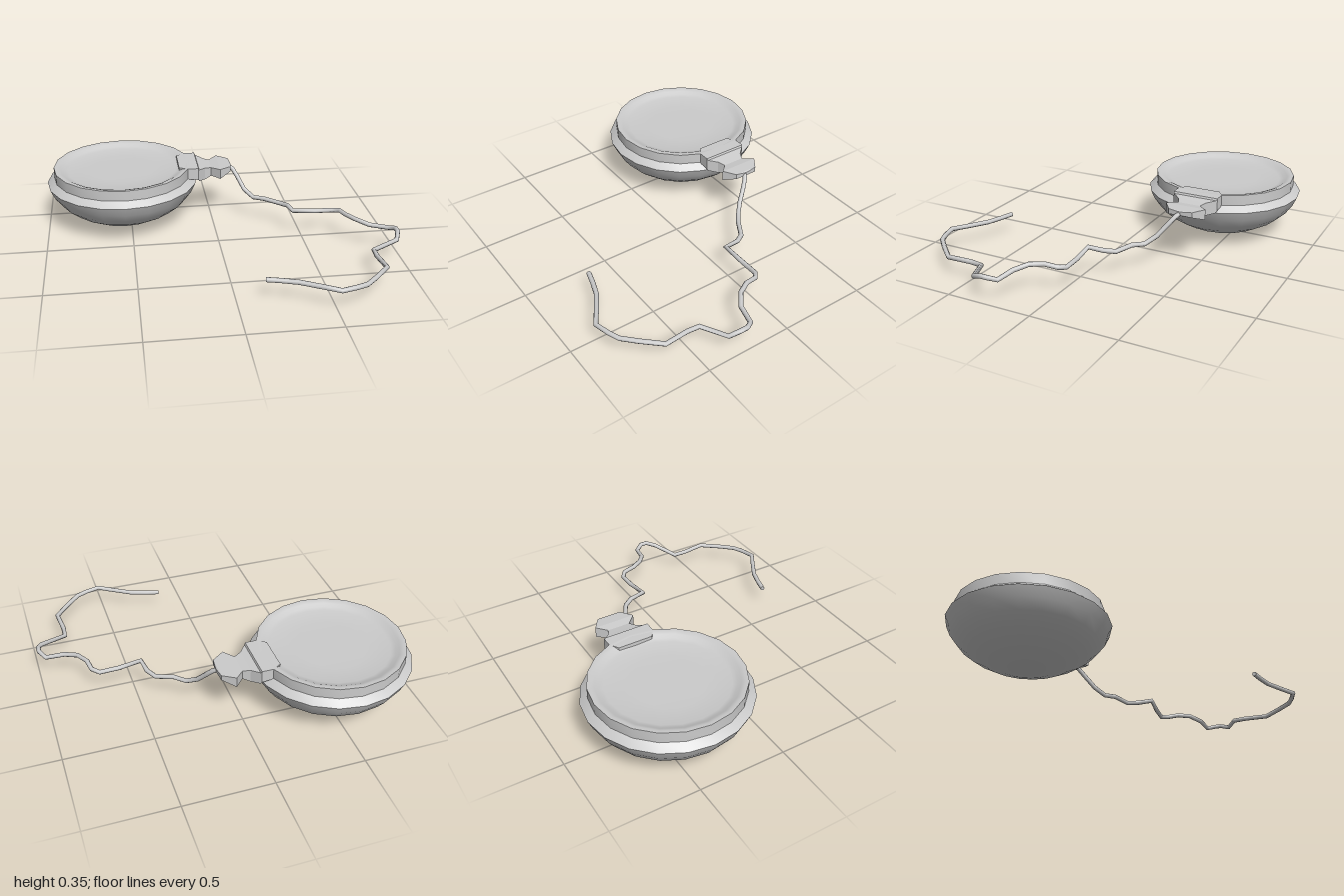
import * as THREE from 'three';
import { toCreasedNormals } from 'three/addons/utils/BufferGeometryUtils.js';

const CX = -0.54, CZ = -0.413; // centre of the round case

const material = new THREE.MeshStandardMaterial({ color: 0xcccccc });
const flatMaterial = new THREE.MeshStandardMaterial({ color: 0xcccccc, flatShading: true });

function addMesh(group, name, geometry, mat = material) {
  const mesh = new THREE.Mesh(geometry, mat);
  mesh.name = name;
  group.add(mesh);
  return mesh;
}

// Twenty-sided turned shape from [radius, height] pairs
function turned(profile) {
  const points = profile.map(([r, y]) => new THREE.Vector2(r, y));
  return toCreasedNormals(new THREE.LatheGeometry(points, 20), 0.7);
}

// Rectangular cross-sections [x, halfWidth, bottom, top] skinned along x
function rectLoft(sections) {
  const pos = [], index = [];
  for (const [x, w, y0, y1] of sections) pos.push(x, y0, w, x, y0, -w, x, y1, -w, x, y1, w);
  const n = sections.length;
  for (let i = 0; i < n - 1; i++) {
    for (let j = 0; j < 4; j++) {
      const a = i * 4 + j, b = i * 4 + (j + 1) % 4;
      index.push(a, b, a + 4, b, b + 4, a + 4);
    }
  }
  const e = (n - 1) * 4;
  index.push(0, 2, 1, 0, 3, 2, e, e + 1, e + 2, e, e + 2, e + 3);
  const geometry = new THREE.BufferGeometry();
  geometry.setAttribute('position', new THREE.Float32BufferAttribute(pos, 3));
  geometry.setIndex(index);
  geometry.computeVertexNormals();
  return geometry;
}

// Path through waypoints with mitred corners, one tube ring per waypoint
class KinkedPath extends THREE.Curve {
  constructor(points) {
    super();
    this.points = points;
  }
  getPointAt(u, target = new THREE.Vector3()) {
    return target.copy(this.points[Math.round(u * (this.points.length - 1))]);
  }
  getTangentAt(u, target = new THREE.Vector3()) {
    const p = this.points, i = Math.round(u * (p.length - 1));
    const before = p[Math.max(i, 1)].clone().sub(p[Math.max(i, 1) - 1]).normalize();
    const k = Math.min(i, p.length - 2);
    const after = p[k + 1].clone().sub(p[k]).normalize();
    return target.copy(before).add(after).normalize();
  }
}

export function createModel() {
  const model = new THREE.Group();
  model.name = 'roundCaseWithCord';

  // Round-bottomed case with a flared shoulder
  const caseGroup = new THREE.Group();
  caseGroup.name = 'case';
  caseGroup.position.set(CX, 0, CZ);
  model.add(caseGroup);
  addMesh(caseGroup, 'bowl', turned([
    [0, 0.003], [0.08, 0.006], [0.16, 0.022], [0.25, 0.055], [0.33, 0.1],
    [0.39, 0.15], [0.43, 0.205], [0.455, 0.26], [0.41, 0.295],
  ]));

  // Raised rim around a shallow dished top
  addMesh(caseGroup, 'lid', turned([
    [0.413, 0.28], [0.413, 0.354], [0.395, 0.354], [0.375, 0.347], [0.355, 0.335],
    [0.33, 0.328], [0.2, 0.325], [0, 0.325],
  ]));

  // Waisted connector joining case and cord
  addMesh(model, 'connector', rectLoft([
    [-0.2, 0.1, 0.29, 0.353], [-0.15, 0.133, 0.288, 0.354], [-0.085, 0.133, 0.28, 0.354],
    [-0.08, 0.128, 0.27, 0.343], [-0.04, 0.083, 0.26, 0.335], [0, 0.065, 0.275, 0.328],
    [0.05, 0.118, 0.273, 0.334], [0.12, 0.07, 0.3, 0.331], [0.127, 0.01, 0.305, 0.326],
  ]), flatMaterial).position.z = CZ;

  // Thin kinked cord trailing away from the connector
  const points = [
    [0.11, 0.315, -0.41], [0.14, 0.295, -0.39], [0.165, 0.255, -0.36], [0.2, 0.19, -0.31],
    [0.25, 0.153, -0.262], [0.31, 0.16, -0.215], [0.4, 0.147, -0.165], [0.435, 0.155, -0.11],
    [0.447, 0.162, -0.02], [0.58, 0.148, -0.028], [0.69, 0.146, -0.03], [0.728, 0.155, 0],
    [0.74, 0.163, 0.07], [0.78, 0.163, 0.14], [0.85, 0.147, 0.193], [0.955, 0.133, 0.215],
    [0.985, 0.149, 0.26], [0.985, 0.149, 0.3], [0.962, 0.125, 0.357], [0.81, 0.107, 0.425],
    [0.805, 0.11, 0.5], [0.818, 0.114, 0.635], [0.73, 0.118, 0.735], [0.66, 0.12, 0.805],
    [0.6, 0.122, 0.83], [0.515, 0.122, 0.853], [0.43, 0.12, 0.8], [0.32, 0.118, 0.735],
    [0.23, 0.118, 0.705], [0.155, 0.118, 0.685],
  ].map((p) => new THREE.Vector3(...p));
  const path = new KinkedPath(points);
  addMesh(model, 'cord', new THREE.TubeGeometry(path, points.length - 1, 0.0135, 8));

  // Flat end of the cord
  const end = addMesh(model, 'cordEnd', new THREE.CircleGeometry(0.0135, 8));
  end.position.copy(points[points.length - 1]);
  end.quaternion.setFromUnitVectors(new THREE.Vector3(0, 0, 1), path.getTangentAt(1));

  return model;
}
